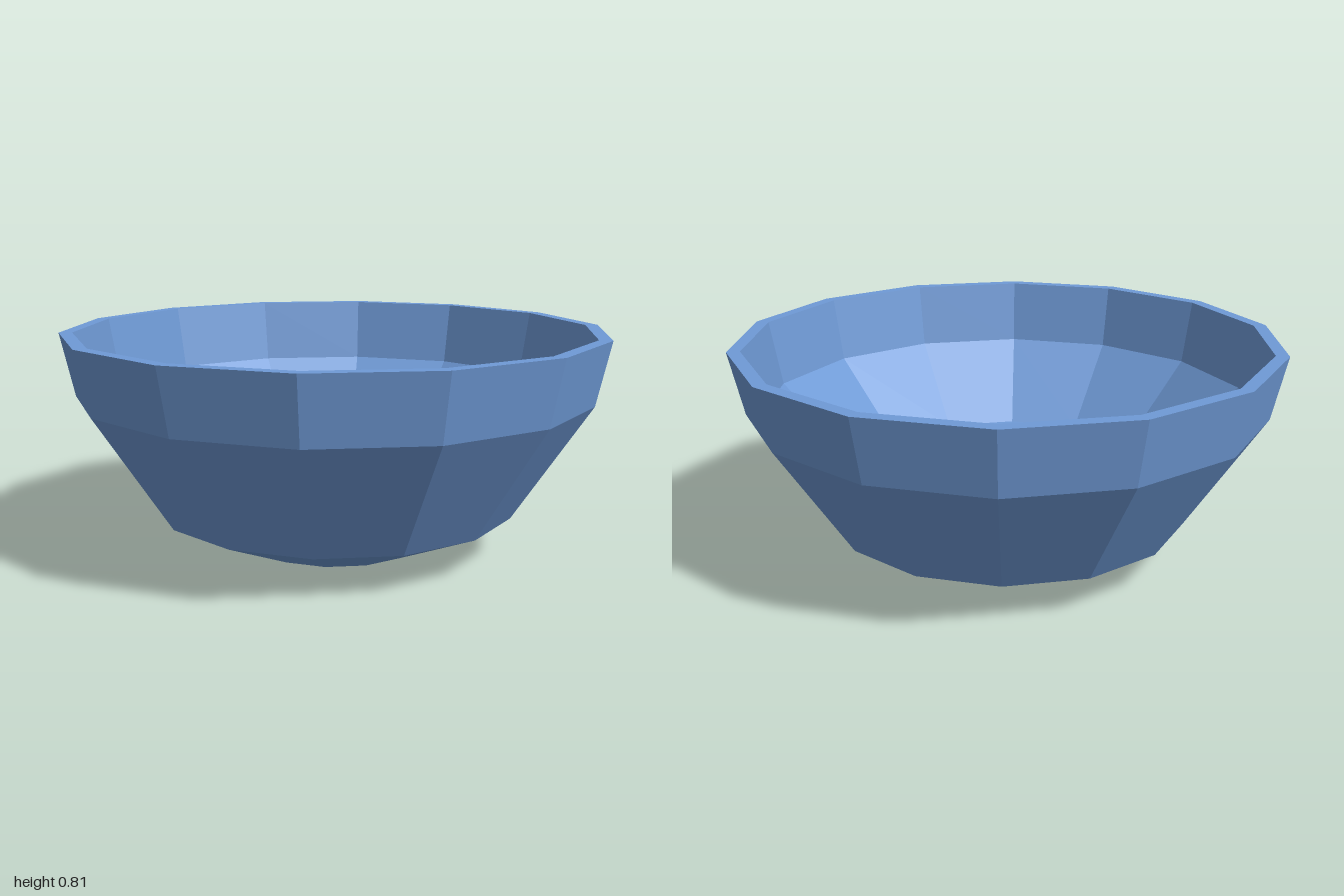
import * as THREE from 'three';

const SIDES = 14;

// Faceted ring swept around y; profile runs so that its faces point outwards.
function facetedLathe(name, profile, material) {
  const points = profile.map(([r, y]) => new THREE.Vector2(r, y));
  const geometry = new THREE.LatheGeometry(points, SIDES, Math.PI / 2).toNonIndexed();
  geometry.computeVertexNormals();
  const mesh = new THREE.Mesh(geometry, material);
  mesh.name = name;
  return mesh;
}

export function createModel() {
  const bowl = new THREE.Group();
  bowl.name = 'bowl';
  const blue = new THREE.MeshStandardMaterial({ color: 0x6f9ad6 });
  blue.name = 'blue glaze';

  // Flat foot and flared outside wall
  bowl.add(facetedLathe('foot', [[0, 0], [0.33, 0]], blue));
  bowl.add(facetedLathe('outerWall', [[0.33, 0], [0.67, 0.147], [0.95, 0.578], [1, 0.81]], blue));
  // Flat lip
  bowl.add(facetedLathe('rim', [[1, 0.81], [0.952, 0.81]], blue));
  // Inside wall and slightly dished floor
  bowl.add(facetedLathe('innerWall', [[0.952, 0.81], [0.907, 0.567], [0.62, 0.275]], blue));
  bowl.add(facetedLathe('innerFloor', [[0.62, 0.275], [0, 0.2]], blue));
  return bowl;
}
